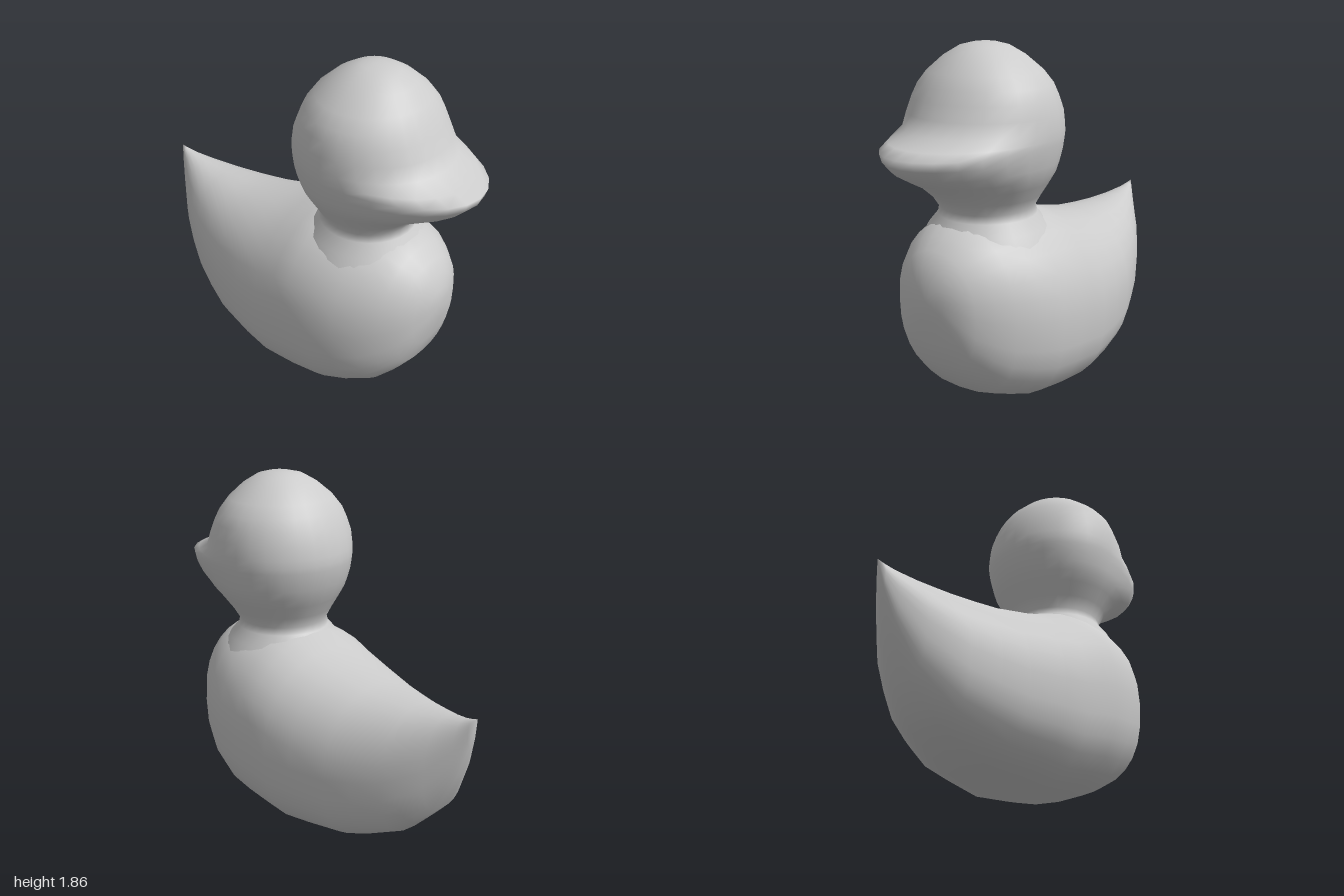
import * as THREE from 'three';
import { mergeVertices } from 'three/addons/utils/BufferGeometryUtils.js';

const SIDES = 28;

// Skin a list of stations; ringPoint(station, angle) gives a point on each closed ring.
function loft(name, stations, ringPoint) {
  const positions = [], index = [];
  stations.forEach((s, i) => {
    for (let j = 0; j < SIDES; j++) {
      positions.push(...ringPoint(s, (j / SIDES) * Math.PI * 2));
      if (i === stations.length - 1) continue;
      const k = (j + 1) % SIDES;
      const a = i * SIDES + j, b = i * SIDES + k, c = a + SIDES, d = b + SIDES;
      index.push(a, c, b, b, c, d);
    }
  });
  let geometry = new THREE.BufferGeometry();
  geometry.setAttribute('position', new THREE.Float32BufferAttribute(positions, 3));
  geometry.setIndex(index);
  geometry = mergeVertices(geometry, 1e-5);
  geometry.computeVertexNormals();
  const mesh = new THREE.Mesh(geometry, new THREE.MeshStandardMaterial({ color: 0xcccccc }));
  mesh.name = name;
  return mesh;
}

const power = (v, p) => Math.sign(v) * Math.pow(Math.abs(v) < 1e-9 ? 0 : Math.abs(v), p);

export function createModel() {
  const group = new THREE.Group();
  group.name = 'duck';

  // Body, tail to breast: x, top, bottom, half width
  const bodyStations = [
    [-1, 0.89, 0.89, 0], [-0.97, 0.88, 0.74, 0.03], [-0.92, 0.868, 0.57, 0.075],
    [-0.82, 0.855, 0.35, 0.16], [-0.72, 0.85, 0.245, 0.225], [-0.64, 0.85, 0.165, 0.268],
    [-0.5, 0.857, 0.1, 0.33], [-0.36, 0.871, 0.045, 0.382], [-0.16, 0.915, 0.022, 0.437],
    [0, 0.965, 0, 0.464], [0.12, 1.015, 0.012, 0.474], [0.22, 1.035, 0.024, 0.478],
    [0.37, 1.04, 0.045, 0.468], [0.5, 1.03, 0.095, 0.435], [0.62, 1.01, 0.15, 0.375],
    [0.7, 0.965, 0.235, 0.315], [0.77, 0.91, 0.33, 0.245], [0.81, 0.845, 0.455, 0.175],
    [0.84, 0.775, 0.58, 0.09], [0.845, 0.68, 0.68, 0],
  ];
  group.add(loft('body', bodyStations, ([x, top, bottom, w], a) => {
    const p = Math.cos(a) < 0 ? 2 / 2.6 : 2 / 2.15; // fuller underside
    return [
      x,
      (top + bottom) / 2 + power(Math.cos(a), p) * (top - bottom) / 2,
      -w * power(Math.sin(a), p),
    ];
  }));

  // Neck, head and beak, bottom to crown: y, back x, front x, half width
  const headStations = [
    [0.88, 0.05, 0.72, 0.34], [0.96, 0.07, 0.68, 0.295], [1.02, 0.13, 0.625, 0.247],
    [1.06, 0.14, 0.62, 0.237], [1.12, 0.11, 0.66, 0.272], [1.19, 0.072, 0.745, 0.317],
    [1.24, 0.045, 0.84, 0.346], [1.29, 0.027, 0.93, 0.362], [1.345, 0.01, 0.985, 0.375],
    [1.39, 0.004, 1, 0.382], [1.42, 0, 0.93, 0.385], [1.46, 0.004, 0.81, 0.385],
    [1.53, 0.015, 0.765, 0.38], [1.6, 0.042, 0.73, 0.36], [1.66, 0.07, 0.695, 0.335],
    [1.72, 0.112, 0.655, 0.285], [1.79, 0.19, 0.583, 0.2], [1.835, 0.265, 0.51, 0.122],
    [1.85, 0.32, 0.45, 0.06], [1.855, 0.38, 0.38, 0],
  ];
  group.add(loft('headAndBeak', headStations, ([y, back, front, w], a) => {
    const c = Math.cos(a);
    return [0.38 + c * (c > 0 ? front - 0.38 : 0.38 - back), y, w * Math.sin(a)];
  }));

  return group;
}
